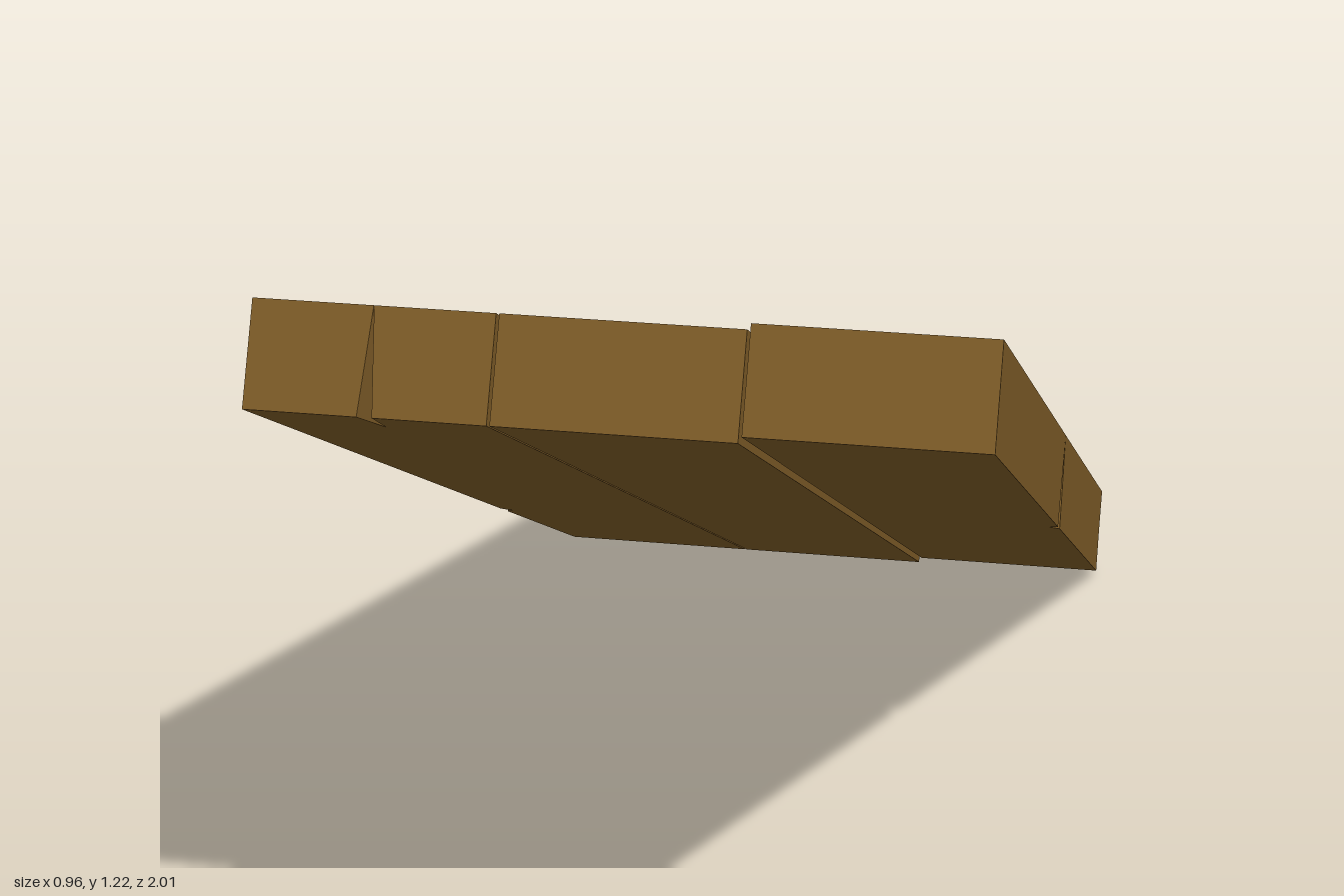
import * as THREE from 'three';

const HALF = 1.11;      // half the plank length
const THICK = 0.143;
const TILT = 0.513;     // slope of the planks

// One plank: an outline with V cracks that open at the underside and close at the top
function plankGeometry(x0, x1, notches) {
  const corners = [[x0, -HALF], [x1, -HALF], [x1, HALF], [x0, HALF]];
  const shape = new THREE.Shape();
  corners.forEach(([x, z], side) => {
    if (side === 0) shape.moveTo(x, z); else shape.lineTo(x, z);
    const [nx, nz] = corners[(side + 1) % 4];
    const len = Math.hypot(nx - x, nz - z);
    const ux = (nx - x) / len, uz = (nz - z) / len;
    notches.filter((n) => n.side === side).forEach((n) => {
      shape.lineTo(n.x - ux * n.half, n.z - uz * n.half);
      shape.lineTo(n.x - uz * n.depth, n.z + ux * n.depth);
      shape.lineTo(n.x + ux * n.half, n.z + uz * n.half);
    });
  });
  const geo = new THREE.ExtrudeGeometry(shape, { depth: THICK, steps: 2, bevelEnabled: false });
  const p = geo.attributes.position;
  for (let i = 0; i < p.count; i++) {
    let x = p.getX(i), z = p.getY(i);
    const f = p.getZ(i) / THICK;            // 0 at the top face, 1 at the underside
    for (const n of notches) {
      if (Math.hypot(x - n.x, z - n.z) <= Math.max(n.depth, n.half) + 0.001) {
        const k = Math.max(f, 0.02);
        x = n.x + (x - n.x) * k;
        z = n.z + (z - n.z) * k;
      }
    }
    // slightly hollow lower end
    if (z < -HALF + 0.001) z += 0.006 * (1 - Math.abs(2 * f - 1));
    p.setXY(i, x, z);
  }
  geo.rotateX(Math.PI / 2);
  geo.translate(0, THICK / 2, 0);
  geo.computeVertexNormals();
  return geo;
}

export function createModel() {
  const model = new THREE.Group();
  model.name = 'slopingPlanks';
  const wood = new THREE.MeshStandardMaterial({ color: 0x7a5926 });
  wood.name = 'brown wood';
  wood.flatShading = true;

  const planks = [
    { name: 'rightPlank', x0: -0.479, x1: -0.162, lift: 0, notches: [
      { side: 2, x: -0.32, z: HALF, half: 0.01, depth: 0.12 },
      { side: 3, x: -0.479, z: -0.49, half: 0.03, depth: 0.015 },
    ] },
    { name: 'middlePlank', x0: -0.158, x1: 0.158, lift: 0, notches: [] },
    { name: 'leftPlank', x0: 0.162, x1: 0.478, lift: 0.008, notches: [
      { side: 1, x: 0.478, z: -0.085, half: 0.02, depth: 0.015 },
    ] },
  ];

  // Planks lie side by side on one slope, high at the front
  const slope = new THREE.Group();
  slope.name = 'slope';
  for (const { name, x0, x1, lift, notches } of planks) {
    const mesh = new THREE.Mesh(plankGeometry(x0, x1, notches), wood);
    mesh.name = name;
    mesh.position.y = lift;
    slope.add(mesh);
  }
  slope.rotation.x = -TILT;
  slope.position.y = HALF * Math.sin(TILT) + (THICK / 2) * Math.cos(TILT);
  model.add(slope);
  return model;
}
